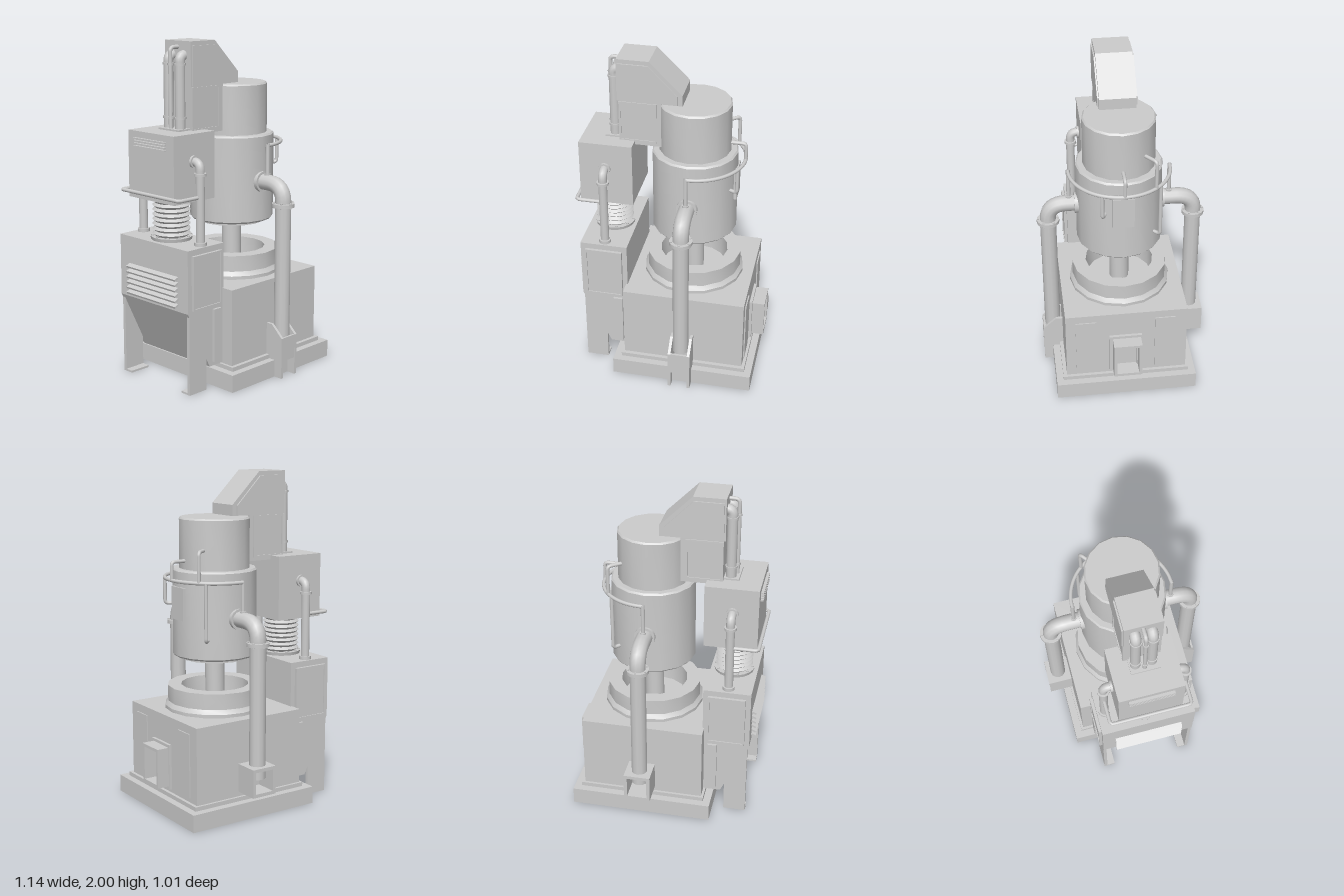
import * as THREE from 'three';
import { toCreasedNormals } from 'three/addons/utils/BufferGeometryUtils.js';

const CX = 0.108, CZ = 0.015; // axis of the drum
const V = (x, y, z) => new THREE.Vector3(x, y, z);

export function createModel() {
  const root = new THREE.Group();
  const mat = new THREE.MeshStandardMaterial({ color: 0xcccccc });
  const thin = new THREE.MeshStandardMaterial({ color: 0xcccccc, side: THREE.DoubleSide });

  const add = (name, geo, m = mat) => {
    const mesh = new THREE.Mesh(geo, m);
    mesh.name = name;
    root.add(mesh);
    return mesh;
  };
  // Box given by its ranges
  const box = (name, x0, x1, y0, y1, z0, z1) =>
    add(name, new THREE.BoxGeometry(x1 - x0, y1 - y0, z1 - z0))
      .position.set((x0 + x1) / 2, (y0 + y1) / 2, (z0 + z1) / 2);
  // Turned part: [radius, y] pairs from bottom to top
  const turn = (name, pts, x, z, sides = 16) =>
    add(name, toCreasedNormals(new THREE.LatheGeometry(pts.map(p => new THREE.Vector2(...p)), sides), 0.6))
      .position.set(x, 0, z);
  const disc = (name, r, y0, y1, x, z) => turn(name, [[0, y0], [r, y0], [r, y1], [0, y1]], x, z);
  // Outline in x, y pushed through z0..z1, with an optional hole
  const slab = (name, pts, z0, z1, hole) => {
    const s = new THREE.Shape(pts.map(p => new THREE.Vector2(...p)));
    if (hole) s.holes.push(new THREE.Path(hole.map(p => new THREE.Vector2(...p))));
    return add(name, new THREE.ExtrudeGeometry(s, { depth: z1 - z0, bevelEnabled: false }).translate(0, 0, z0));
  };
  const rect = (a, b, c, d) => [[a, c], [b, c], [b, d], [a, d]];
  const frame = (name, x0, x1, y0, y1, w, z0, z1) =>
    slab(name, rect(x0, x1, y0, y1), z0, z1, rect(x0 + w, x1 - w, y0 + w, y1 - w));
  // Pipe through corner points, each corner rounded
  const pipe = (name, pts, r, bend = 0.03) => {
    const path = new THREE.CurvePath();
    let from = pts[0];
    for (let i = 1; i < pts.length - 1; i++) {
      const a = pts[i].clone().add(pts[i - 1].clone().sub(pts[i]).setLength(bend));
      const b = pts[i].clone().add(pts[i + 1].clone().sub(pts[i]).setLength(bend));
      path.add(new THREE.LineCurve3(from, a));
      path.add(new THREE.QuadraticBezierCurve3(a, a.clone().lerp(pts[i], 0.95), b));
      from = b;
    }
    path.add(new THREE.LineCurve3(from, pts[pts.length - 1]));
    add(name, new THREE.TubeGeometry(path, 48, r, 12), thin);
  };

  // Base and main body
  box('baseSlab', -0.32, 0.54, 0, 0.105, -0.415, 0.445);
  box('bodyPlinth', -0.275, 0.497, 0.105, 0.13, -0.37, 0.403);
  box('mainBody', -0.26, 0.478, 0.13, 0.59, -0.355, 0.38);
  for (const [a, b] of [[-0.285, -0.16], [0.195, 0.32]]) box('sidePanel', 0.47, 0.485, 0.155, 0.54, a, b);

  // Side duct, hollow towards +x
  const duct = (name, z0, z1, y0, y1, w, x0, x1) => {
    const m = frame(name, z0, z1, y0, y1, w, 0, x1 - x0);
    m.rotation.y = Math.PI / 2; // outline x becomes -z
    m.position.x = x0;
  };
  duct('ductFlange', -0.117, 0.08, 0.15, 0.425, 0.03, 0.475, 0.495);
  duct('sideDuct', -0.098, 0.073, 0.17, 0.408, 0.018, 0.475, 0.57);

  // Collar ring, stem and drum
  turn('collarRing', [[0.305, 0.59], [0.305, 0.61], [0.287, 0.635], [0.287, 0.73], [0.205, 0.73], [0.2, 0.6], [0, 0.6]], CX, CZ);
  disc('stem', 0.059, 0.59, 0.92, CX, CZ);
  turn('drumBottom', [[0, 0.875], [0.11, 0.875], [0.12, 0.905], [0.17, 0.905], [0.175, 0.895], [0.2, 0.895], [0.2, 0.92], [0, 0.92]], CX, CZ);
  turn('drum', [[0, 0.915], [0.245, 0.915], [0.254, 0.925], [0.254, 1.43], [0.245, 1.44], [0, 1.44]], CX, CZ);
  turn('upperDrum', [[0, 1.43], [0.212, 1.43], [0.212, 1.73], [0.203, 1.74], [0, 1.74]], CX, CZ);
  box('drumHatch', 0.33, 0.368, 1.145, 1.34, -0.045, 0.08);

  // Big pipes from the front and back of the drum
  for (const s of [-1, 1]) {
    const z = s > 0 ? 0.438 : -0.43;
    pipe('mainPipe', [V(CX, 0.25, z), V(CX, 1.162, z), V(CX, 1.162, CZ + s * 0.2)], 0.048, 0.1);
    disc('mainPipeFlange', 0.067, 1.035, 1.057, CX, z);
    for (let i = 0; i < 6; i++) {
      const a = (i + 0.5) * Math.PI / 3;
      disc('flangeBolt', 0.006, 1.03, 1.064, CX + 0.058 * Math.cos(a), z + 0.058 * Math.sin(a));
    }
    const collar = add('drumPipeCollar', new THREE.CylinderGeometry(0.062, 0.062, 0.05, 16));
    collar.rotation.x = Math.PI / 2;
    collar.position.set(CX, 1.162, CZ + s * 0.24);
  }
  frame('backPipeBox', 0.03, 0.19, 0.16, 0.33, 0.02, -0.505, -0.355);
  box('backPipeBoxFloor', 0.04, 0.18, 0.17, 0.32, -0.37, -0.35);

  // Bracket carrying the front pipe
  const cheek = [[-0.375, 0.325], [-0.42, 0.325], [-0.5, 0.25], [-0.5, 0], [-0.446, 0], [-0.446, 0.105], [-0.375, 0.105]];
  for (const x of [0.04, 0.158]) {
    const m = slab('bracketCheek', cheek, 0, 0.017);
    m.rotation.y = Math.PI / 2;
    m.position.x = x;
  }
  box('bracketFront', 0.05, 0.165, 0.105, 0.25, 0.485, 0.498);

  // Thin ring line around the drum, dropping into both big pipes
  const R = 0.297, ringY = 1.383;
  const at = (deg, r, y) => {
    const a = deg * Math.PI / 180;
    return V(CX + r * Math.cos(a), y, CZ + r * Math.sin(a));
  };
  const arc = [];
  for (let d = -90; d <= 90; d += 10) arc.push(at(d, R, ringY));
  add('ringLine', new THREE.TubeGeometry(new THREE.CatmullRomCurve3(arc), 48, 0.011, 10), thin);
  for (const d of [-90, 90]) {
    pipe('ringDrop', [at(d, R - 0.001, ringY + 0.008), at(d, R, 1.18)], 0.012);
    const e = at(d, R, 0);
    disc('dropCollar', 0.018, 1.19, 1.215, e.x, e.z);
  }
  // Branches: angle, height, radius reached on the drum
  for (const [d, y, r] of [[0, 1.49, 0.2], [25, 1.23, 0.245], [-47, 1.04, 0.245], [-39, 1.56, 0.2]])
    pipe('ringBranch', [at(d, R, ringY), at(d, R, y), at(d, r, y)], 0.011, 0.022);

  // Hood feeding the drum
  slab('hood', [[-0.33, 1.745], [0.052, 1.745], [0.052, 1.81], [-0.14, 2], [-0.33, 2]], -0.092, 0.12);
  box('hoodChute', -0.32, -0.07, 1.47, 1.75, -0.09, 0.118);
  for (const [z0, z1, f0, f1] of [[0.11, 0.123, 0.11, 0.128], [-0.096, -0.085, -0.101, -0.085]]) {
    slab('hoodPanel', [[-0.32, 1.75], [0.022, 1.75], [0.022, 1.805], [-0.145, 1.975], [-0.32, 1.975]], f0, f1);
    frame('chutePanelFrame', -0.32, -0.1, 1.49, 1.74, 0.012, z0, z1);
  }

  // Pipes on the rear of the hood
  box('hoodPipePlate', -0.41, -0.3, 1.49, 1.505, -0.07, 0.1);
  for (const z of [-0.034, 0.06]) {
    pipe('hoodPipe', [V(-0.358, 1.49, z), V(-0.358, 1.92, z), V(-0.3, 1.92, z)], 0.03, 0.035);
    for (const y of [1.56, 1.865]) disc('hoodPipeClamp', 0.035, y, y + 0.013, -0.358, z);
  }
  pipe('hoodThinPipe', [V(-0.388, 1.49, 0.013), V(-0.388, 1.965, 0.013), V(-0.31, 1.965, 0.013)], 0.012, 0.025);
  for (const y of [1.56, 1.865]) disc('thinPipeClamp', 0.017, y, y + 0.013, -0.388, 0.013);

  // Upper cabinet, bellows and rail
  box('upperCabinet', -0.545, -0.228, 1.105, 1.495, -0.177, 0.205);
  for (let i = 0; i < 4; i++) {
    const y = 1.405 + i * 0.015;
    box('upperLouvre', -0.562, -0.54, y, y + 0.008, -0.12, 0.145);
  }
  const folds = [[0.12, 0.86], [0.125, 0.88], [0.095, 0.88]];
  for (let i = 0; i < 8; i++) folds.push([0.112, 0.895 + i * 0.028], [0.095, 0.909 + i * 0.028]);
  turn('bellows', folds, -0.39, 0.014, 20);
  for (let i = 0; i < 10; i++) {
    const a = i * Math.PI / 5;
    disc('bellowsBolt', 0.008, 0.87, 0.887, -0.39 + 0.112 * Math.cos(a), 0.014 + 0.112 * Math.sin(a));
  }
  pipe('cabinetRail', [V(-0.393, 1.14, -0.231), V(-0.558, 1.14, -0.231), V(-0.558, 1.14, 0.259), V(-0.393, 1.14, 0.259)], 0.011, 0.02);

  // Lower cabinet with sloping back
  slab('lowerCabinet', [[-0.535, 0.86], [-0.535, 0.49], [-0.365, 0.135], [-0.25, 0.135], [-0.25, 0.86]].reverse(), -0.277, 0.302);
  for (let i = 0; i < 6; i++) {
    const m = add('lowerLouvre', new THREE.BoxGeometry(0.035, 0.012, 0.42));
    m.position.set(-0.545, 0.525 + i * 0.032, 0.012);
    m.rotation.z = 0.4;
  }
  for (const s of [-1, 1]) {
    const face = s > 0 ? 0.302 : -0.277;
    const lo = t => Math.min(face, face + s * t), hi = t => Math.max(face, face + s * t);
    box('cabinetDoor', -0.505, -0.28, 0.505, 0.825, lo(0.012), hi(0.012));
    frame('cabinetDoorFrame', -0.505, -0.28, 0.505, 0.825, 0.01, lo(0.018), hi(0.018));
    box('cabinetStrip', -0.34, -0.283, 0.16, 0.48, lo(0.015), hi(0.015));

    // Leg with inward flange and foot
    const web = [face - s * 0.02, face].sort((a, b) => a - b);
    const foot = [face - s * 0.07, face].sort((a, b) => a - b);
    slab('rearLeg', [[-0.525, 0], [-0.39, 0], [-0.39, 0.22], [-0.525, 0.5]], ...web);
    box('legFoot', -0.525, -0.39, 0, 0.012, ...foot);

    // Elbow pipe joining lower and upper cabinets
    const z = 0.014 + s * 0.244;
    pipe('cabinetPipe', [V(-0.393, 0.85, z), V(-0.393, 1.338, z), V(-0.393, 1.338, 0.014 + s * 0.17)], 0.026, 0.045);
    disc('cabinetPipeFlange', 0.036, 1.262, 1.278, -0.393, z);
    disc('cabinetPipeFoot', 0.036, 0.86, 0.88, -0.393, z);
    const ring = add('cabinetPipeCollar', new THREE.CylinderGeometry(0.036, 0.036, 0.015, 16));
    ring.rotation.x = Math.PI / 2;
    ring.position.set(-0.393, 1.338, 0.014 + s * 0.197);
  }
  return root;
}
